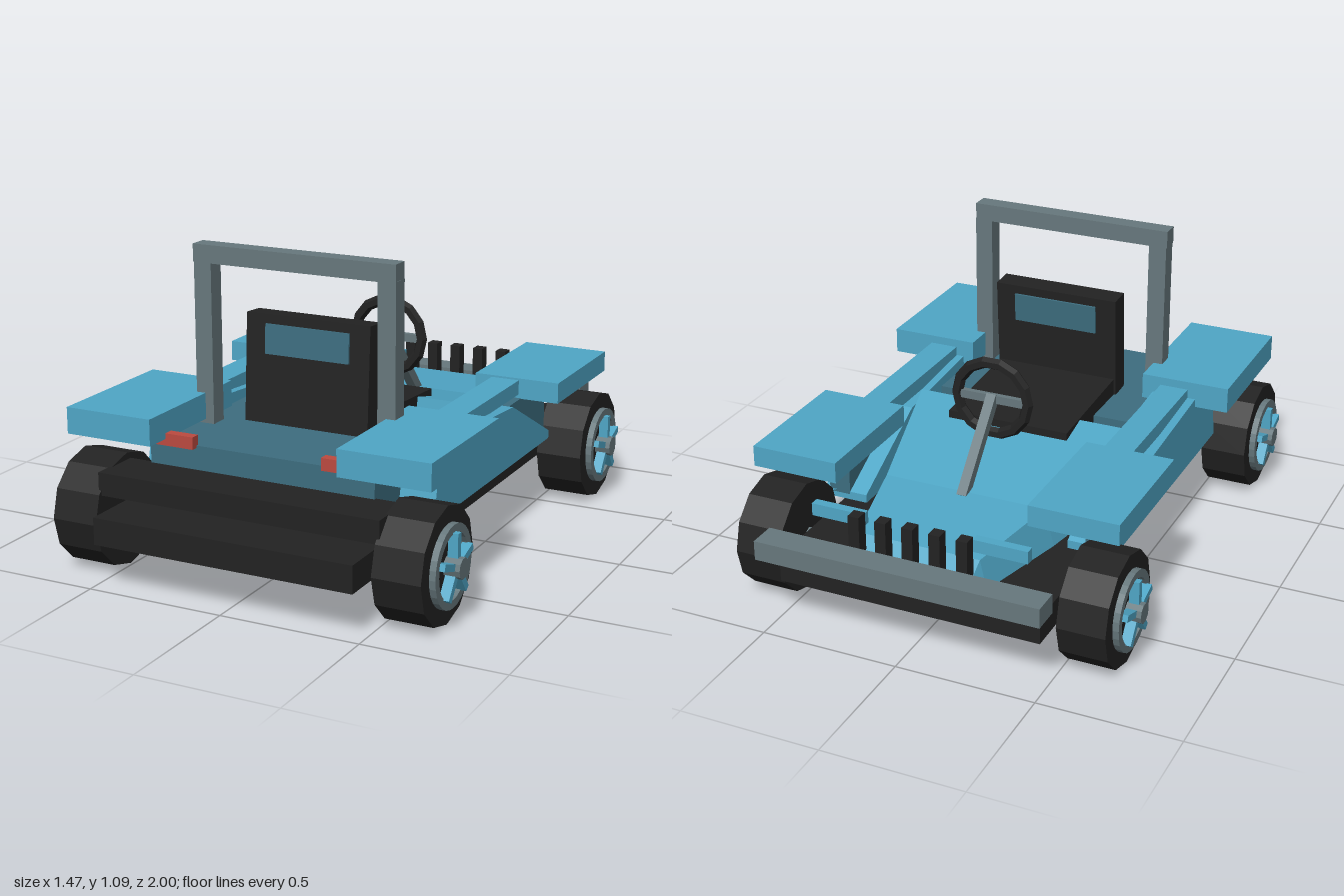
import * as THREE from 'three';

export function createModel() {
  const car = new THREE.Group();
  car.name = 'openBuggy';
  const mat = (name, color) => {
    const m = new THREE.MeshStandardMaterial({ color, flatShading: true });
    m.name = name;
    return m;
  };
  const blue = mat('paint blue', 0x4fa6c6);
  const teal = mat('dark teal', 0x3d6d7f);
  const black = mat('rubber black', 0x222222);
  const grey = mat('metal grey', 0x67787d);
  const red = mat('light red', 0xbc4a40);

  const add = (name, geo, material, parent = car) => {
    const mesh = new THREE.Mesh(geo, material);
    mesh.name = name;
    parent.add(mesh);
    return mesh;
  };
  // Box given by its limits on each axis
  const box = (name, material, [x0, x1], [y0, y1], [z0, z1], parent = car) => {
    const mesh = add(name, new THREE.BoxGeometry(x1 - x0, y1 - y0, z1 - z0), material, parent);
    mesh.position.set((x0 + x1) / 2, (y0 + y1) / 2, (z0 + z1) / 2);
    return mesh;
  };
  // The same box on both sides of the car
  const pair = (name, material, [x0, x1], y, z) => {
    box(name + 'Left', material, [x0, x1], y, z);
    box(name + 'Right', material, [-x1, -x0], y, z);
  };
  // Side profile of [z, y] points, extruded across x
  const sideProfile = (points, x0, x1) => {
    const shape = new THREE.Shape(points.map(([z, y]) => new THREE.Vector2(z, y)));
    const geo = new THREE.ExtrudeGeometry(shape, { depth: x1 - x0, bevelEnabled: false });
    return geo.rotateY(-Math.PI / 2).translate(x1, 0, 0);
  };

  // Chassis and bumpers
  box('chassis', black, [-0.477, 0.477], [0.16, 0.255], [-0.91, 1]);
  box('rearBumper', black, [-0.52, 0.52], [0.295, 0.375], [0.72, 0.9]);
  box('frontBumper', grey, [-0.515, 0.515], [0.28, 0.35], [-1, -0.9]);

  // Rear tub
  box('floorPan', blue, [-0.42, 0.42], [0.25, 0.28], [0.13, 0.72]);
  box('rearTub', teal, [-0.42, 0.42], [0.275, 0.46], [0.13, 0.73]);

  // Hood lofted from sections: z, top half width, top height, bottom half width
  const sections = [
    [0, 0.4, 0.5, 0.42], [-0.47, 0.3, 0.39, 0.335], [-0.82, 0.225, 0.36, 0.25], [-0.885, 0.21, 0.28, 0.225],
  ];
  const verts = [], faces = [];
  sections.forEach(([z, t, y, b], i) => {
    const zb = i === 0 ? 0.04 : i === 3 ? -0.915 : z;
    verts.push(-b, 0.25, zb, -t, y, z, t, y, z, b, 0.25, zb);
    if (i === 3) return;
    for (let k = 0; k < 4; k++) {
      const p = i * 4 + k, n = i * 4 + (k + 1) % 4;
      faces.push(p, n, n + 4, p, n + 4, p + 4);
    }
  });
  faces.push(0, 2, 1, 0, 3, 2, 12, 13, 14, 12, 14, 15);
  const hood = new THREE.BufferGeometry();
  hood.setAttribute('position', new THREE.Float32BufferAttribute(verts, 3));
  hood.setIndex(faces);
  const hoodFlat = hood.toNonIndexed();
  hoodFlat.computeVertexNormals();
  add('hood', hoodFlat, blue);

  // Body sides
  const panel = [[0.56, 0.26], [0.51, 0.49], [0.32, 0.505], [-0.11, 0.475], [-0.47, 0.29], [-0.47, 0.26]];
  add('sidePanelLeft', sideProfile(panel, 0.385, 0.55), blue);
  add('sidePanelRight', sideProfile(panel, -0.55, -0.385), blue);
  pair('innerWall', teal, [0.45, 0.53], [0.28, 0.472], [-0.47, 0.535]);
  pair('sideRail', blue, [0.415, 0.52], [0.485, 0.538], [-0.24, 0.33]);

  // Fenders and lights
  pair('rearFender', blue, [0.345, 0.672], [0.475, 0.568], [0.32, 0.85]);
  pair('frontFender', blue, [0.352, 0.67], [0.47, 0.545], [-0.73, -0.235]);
  pair('tailLight', red, [0.24, 0.387], [0.452, 0.495], [0.72, 0.755]);
  pair('headlightBar', blue, [0.2, 0.395], [0.385, 0.43], [-0.82, -0.787]);

  // Grille posts
  for (let i = -2; i <= 2; i++) {
    const x = i * 0.098;
    box('grillePost', black, [x - 0.02, x + 0.02], [0.25, 0.46], [-0.895, -0.85]);
  }

  // Seat
  add('seatBase', sideProfile([[0.36, 0.42], [0.36, 0.525], [-0.12, 0.5], [-0.12, 0.41]], -0.23, 0.23), black);
  const seatBack = new THREE.Group();
  seatBack.name = 'seatBack';
  seatBack.position.set(0, 0.66, 0.357);
  seatBack.rotation.x = -0.06;
  car.add(seatBack);
  box('backrest', black, [-0.237, 0.235], [-0.2, 0.182], [-0.042, 0.042], seatBack);
  box('headrestInset', teal, [-0.16, 0.16], [0.045, 0.15], [-0.05, 0.05], seatBack);

  // Roll bar
  pair('rollBarPost', grey, [0.313, 0.379], [0.44, 1.03], [0.43, 0.495]);
  box('rollBarTop', grey, [-0.382, 0.378], [1.025, 1.088], [0.43, 0.495]);

  // Steering wheel and column
  const steering = add('steeringWheel', new THREE.TorusGeometry(0.134, 0.021, 6, 14), black);
  steering.position.set(0, 0.645, -0.24);
  box('steeringSpoke', grey, [-0.13, 0.13], [0.63, 0.66], [-0.25, -0.23]);
  const column = add('steeringColumn', new THREE.BoxGeometry(0.036, 0.036, 0.37), grey);
  column.position.set(0, 0.515, -0.36);
  column.rotation.x = -0.84;

  // Wheels, built facing +x from the hub outward
  const disc = (r, x0, x1, sides) =>
    new THREE.CylinderGeometry(r, r, x1 - x0, sides).rotateZ(-Math.PI / 2).translate((x0 + x1) / 2, 0, 0);
  const makeWheel = () => {
    const wheel = new THREE.Group();
    add('tyre', disc(0.2, 0.51, 0.68, 12), black, wheel);
    const ring = new THREE.Shape().absarc(0, 0, 0.14, 0, Math.PI * 2);
    ring.holes.push(new THREE.Path().absarc(0, 0, 0.112, 0, Math.PI * 2, true));
    const rim = new THREE.ExtrudeGeometry(ring, { depth: 0.03, bevelEnabled: false, curveSegments: 14 });
    add('rim', rim.rotateY(Math.PI / 2).translate(0.672, 0, 0), grey, wheel);
    for (let i = 0; i < 5; i++) {
      const spoke = new THREE.BoxGeometry(0.035, 0.11, 0.024).translate(0.703, 0.06, 0);
      add('spoke', spoke.rotateX(i * Math.PI * 0.4), blue, wheel);
    }
    add('hub', disc(0.036, 0.67, 0.737, 10), grey, wheel);
    return wheel;
  };
  for (const z of [0.74, -0.66]) {
    const axle = add('axle', disc(0.025, -0.55, 0.55, 8), grey);
    axle.position.set(0, 0.205, z);
    for (const side of [1, -1]) {
      const wheel = makeWheel();
      wheel.name = (z > 0 ? 'rear' : 'front') + (side > 0 ? 'LeftWheel' : 'RightWheel');
      wheel.position.set(0, 0.2, z);
      if (side < 0) wheel.rotation.y = Math.PI;
      car.add(wheel);
    }
  }
  return car;
}
